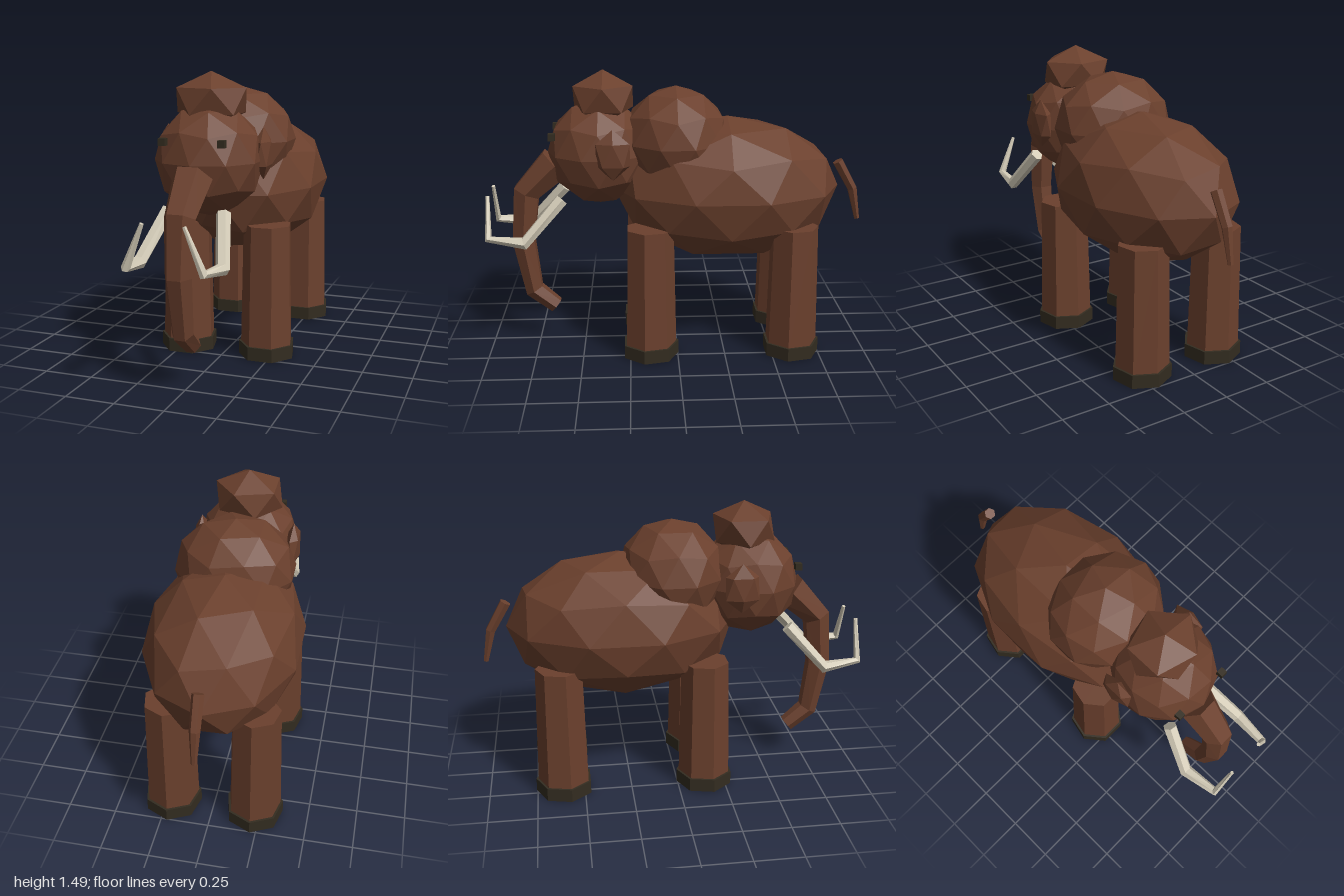
import * as THREE from 'three';

const material = (name, color) => {
  const m = new THREE.MeshStandardMaterial({ color, flatShading: true });
  m.name = name;
  return m;
};

// Faceted ball standing on one vertex, stretched to the given radii
function ball(detail, radii) {
  return new THREE.IcosahedronGeometry(1, detail)
    .rotateZ(-Math.atan(2 / (1 + Math.sqrt(5))))
    .scale(...radii);
}

// Tapered limb: rows of [x, y, z, radius] joined by rings, closed at both ends
function limb(rows, sides) {
  const points = rows.map(r => new THREE.Vector3(r[0], r[1], r[2]));
  const positions = [], index = [];
  const last = rows.length - 1;
  points.forEach((p, i) => {
    const t = new THREE.Vector3();
    if (i > 0) t.add(p.clone().sub(points[i - 1]).normalize());
    if (i < last) t.add(points[i + 1].clone().sub(p).normalize());
    t.normalize();
    const u = new THREE.Vector3(1, 0, 0).addScaledVector(t, -t.x).normalize();
    const v = t.clone().cross(u);
    for (let j = 0; j < sides; j++) {
      const a = (j / sides) * Math.PI * 2;
      const q = p.clone()
        .addScaledVector(u, Math.cos(a) * rows[i][3])
        .addScaledVector(v, Math.sin(a) * rows[i][3]);
      positions.push(q.x, q.y, q.z);
    }
  });
  const start = positions.length / 3;
  for (const p of [points[0], points[last]]) positions.push(p.x, p.y, p.z);
  for (let j = 0; j < sides; j++) {
    const k = (j + 1) % sides;
    for (let i = 0; i < last; i++) {
      const a = i * sides, b = a + sides;
      index.push(a + j, a + k, b + j, a + k, b + k, b + j);
    }
    index.push(start, k, j, start + 1, last * sides + j, last * sides + k);
  }
  const g = new THREE.BufferGeometry();
  g.setAttribute('position', new THREE.Float32BufferAttribute(positions, 3));
  g.setIndex(index);
  const flat = g.toNonIndexed();
  flat.computeVertexNormals();
  return flat;
}

export function createModel() {
  const model = new THREE.Group();
  model.name = 'mammoth';
  const fur = material('brown fur', 0x6b402d);
  const ivory = material('ivory', 0xd4ccb8);
  const dark = material('dark hoof', 0x332c20);

  const add = (name, geometry, mat, x = 0, y = 0, z = 0) => {
    const mesh = new THREE.Mesh(geometry, mat);
    mesh.name = name;
    mesh.position.set(x, y, z);
    model.add(mesh);
    return mesh;
  };

  // Body masses
  add('body', ball(1, [0.405, 0.38, 0.6]), fur, 0, 0.86, -0.27);
  add('shoulderHump', ball(1, [0.315, 0.28, 0.28]), fur, 0, 1.12, 0);
  add('head', ball(1, [0.27, 0.28, 0.27]), fur, 0, 1.06, 0.4);
  add('hairTuft', ball(0, [0.2, 0.14, 0.18]), fur, 0, 1.345, 0.375);

  // Trunk and tail
  add('trunk', limb([
    [0, 1.0, 0.63, 0.1], [0, 0.84, 0.79, 0.078], [0, 0.57, 0.815, 0.067],
    [0, 0.29, 0.77, 0.055], [0, 0.195, 0.655, 0.045],
  ], 6), fur);
  add('tail', limb([
    [0, 0.99, -0.865, 0.03], [0, 0.84, -0.95, 0.027], [0, 0.67, -0.985, 0.014],
  ], 6), fur);

  for (const [side, s] of [['left', 1], ['right', -1]]) {
    // Ears, eyes and tusks
    add(side + 'Ear', ball(0, [0.042, 0.13, 0.1]), fur, s * 0.25, 1.09, 0.325);
    add(side + 'Eye', new THREE.BoxGeometry(0.035, 0.035, 0.035), dark, s * 0.147, 1.165, 0.635);
    add(side + 'Tusk', limb([
      [s * 0.14, 0.835, 0.595, 0.036], [s * 0.205, 0.62, 0.79, 0.034],
      [s * 0.185, 0.64, 0.975, 0.022], [s * 0.1, 0.848, 0.98, 0.01],
    ], 6), ivory);

    // Legs with wider feet
    for (const [end, z] of [['Front', 0.145], ['Back', -0.605]]) {
      add(side + end + 'Leg', new THREE.CylinderGeometry(0.125, 0.138, 0.65, 7).rotateY(Math.PI),
        fur, s * 0.219, 0.375, z);
      add(side + end + 'Foot', new THREE.CylinderGeometry(0.15, 0.15, 0.07, 7).rotateY(Math.PI),
        dark, s * 0.219, 0.035, z);
    }
  }
  return model;
}
